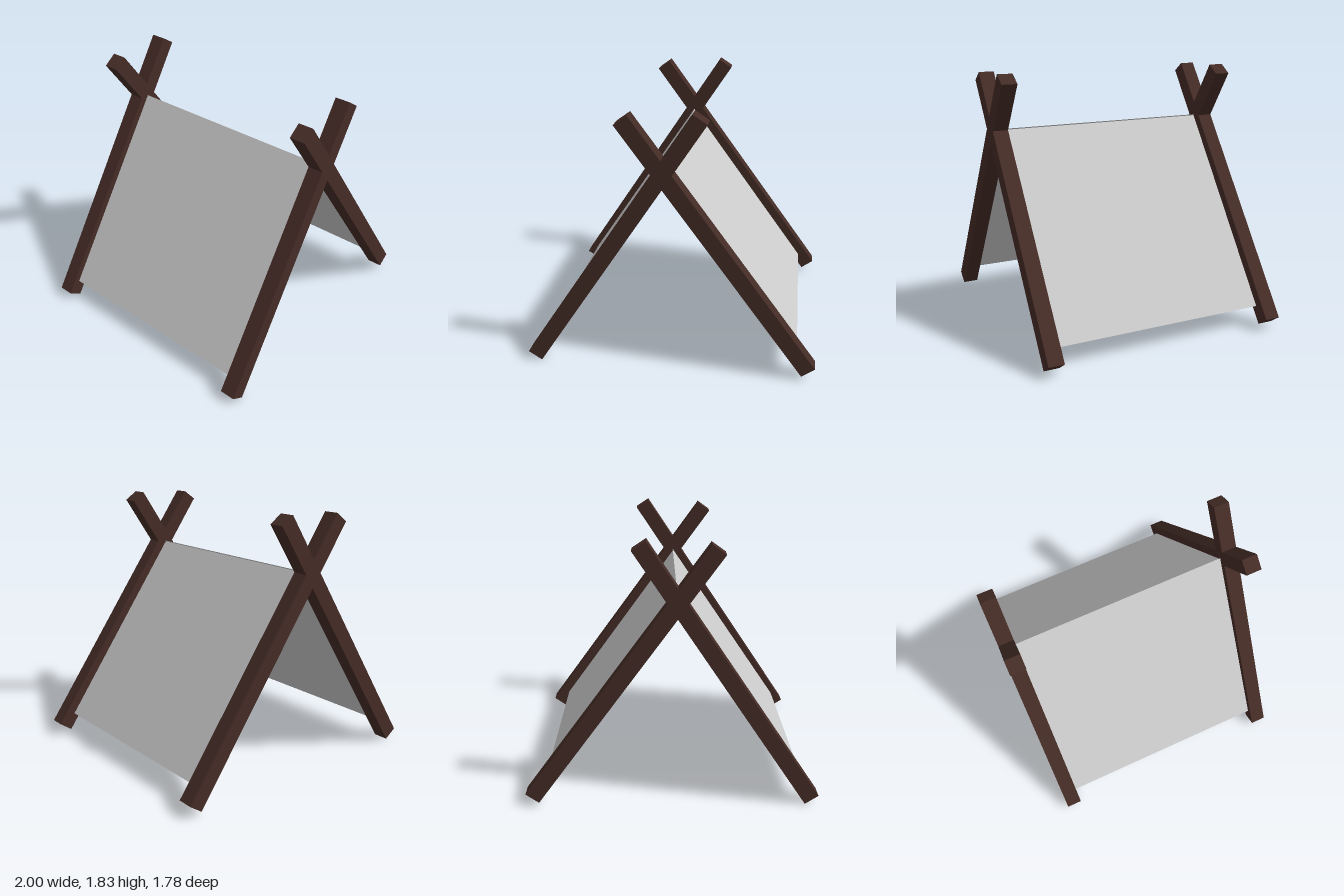
import * as THREE from 'three';

const wood = new THREE.MeshStandardMaterial({ color: 0x452c26 });
const cloth = new THREE.MeshStandardMaterial({ color: 0xcccccc, side: THREE.DoubleSide });

// Mesh in the front plane running from a to b, centred on depth z
function along(name, a, b, z, geometryFor, material) {
  const [dx, dy] = [b[0] - a[0], b[1] - a[1]];
  const mesh = new THREE.Mesh(geometryFor(Math.hypot(dx, dy)), material);
  mesh.name = name;
  mesh.position.set((a[0] + b[0]) / 2, (a[1] + b[1]) / 2, z);
  mesh.rotation.z = Math.atan2(-dx, dy);
  return mesh;
}

export function createModel() {
  const group = new THREE.Group();
  group.name = 'tent';

  // Crossed square poles at the front and back
  const pole = (length) => new THREE.BoxGeometry(0.11, length, 0.11);
  for (const [end, z] of [['front', 0.833], ['back', -0.833]]) {
    group.add(along(end + 'RightPole', [-0.955, 0.033], [0.21, 1.803], z, pole, wood));
    group.add(along(end + 'LeftPole', [0.955, 0.063], [-0.29, 1.78], z, pole, wood));
  }

  // Two flat cloth panels meeting at the ridge
  const panel = (length) => new THREE.PlaneGeometry(1.57, length).rotateY(Math.PI / 2);
  group.add(along('rightCloth', [-0.905, 0.13], [-0.036, 1.43], 0, panel, cloth));
  group.add(along('leftCloth', [0.875, 0.155], [-0.04, 1.422], 0, panel, cloth));

  return group;
}
